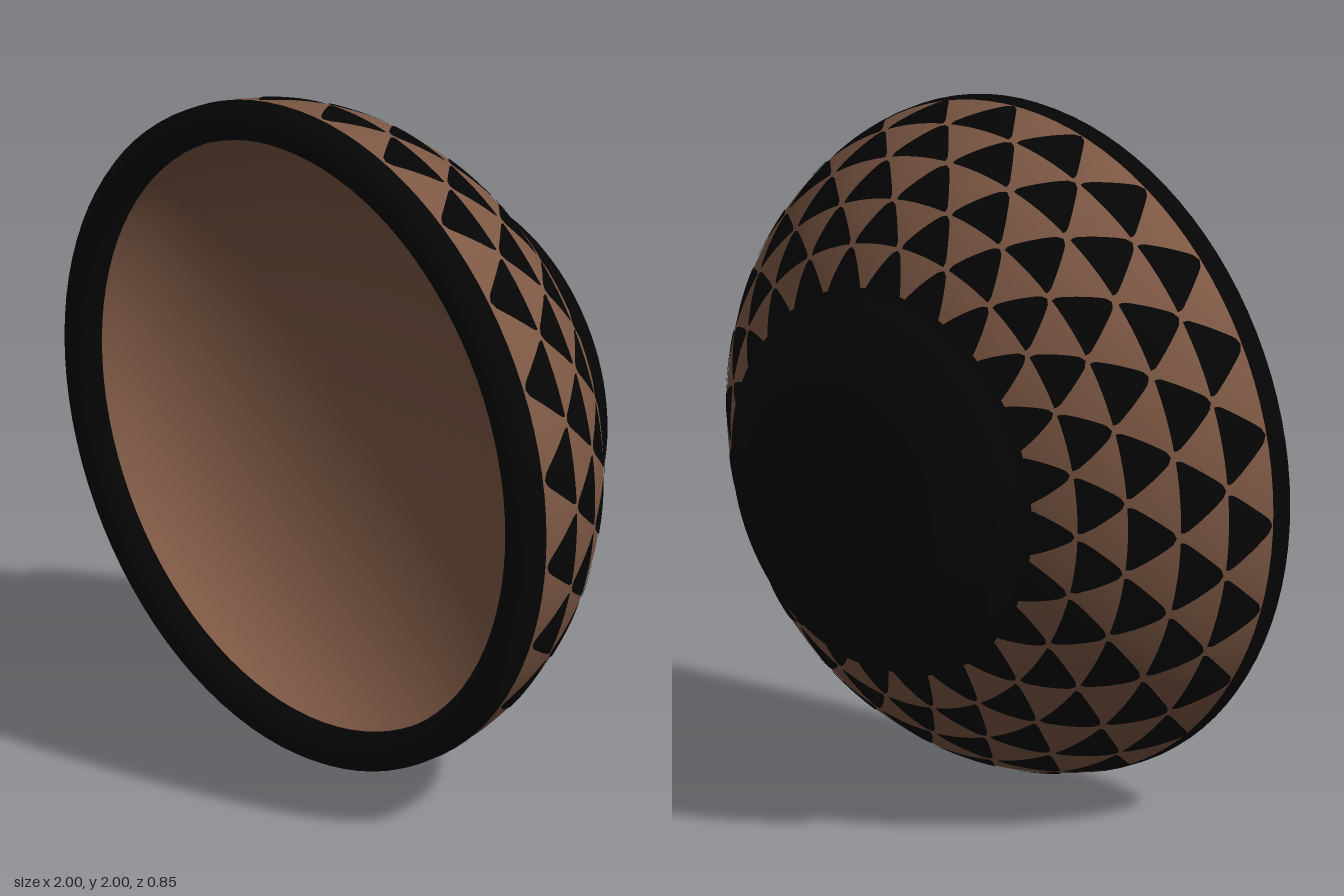
import * as THREE from 'three';
import { mergeGeometries } from 'three/addons/utils/BufferGeometryUtils.js';

const RIM_Z = 0.41, DEPTH = 0.778, COUNT = 23, STEP = (Math.PI * 2) / COUNT;

// Outer wall: a quarter ellipse, radius as a function of z
const wallRadius = (z) => Math.sqrt(1 - ((RIM_Z - z) / DEPTH) ** 2);

export function createModel() {
  const bowl = new THREE.Group();
  bowl.name = 'bowl';
  const brown = new THREE.MeshStandardMaterial({ color: 0x7d5844 });
  brown.name = 'brown clay';
  const black = new THREE.MeshStandardMaterial({ color: 0x050505 });
  black.name = 'black glaze';

  const add = (name, geometry, material) => {
    const mesh = new THREE.Mesh(geometry, material);
    mesh.name = name;
    bowl.add(mesh);
  };
  // Spin a [radius, z] profile about the front-facing axis
  const spin = (name, profile, material) => {
    const g = new THREE.LatheGeometry(profile.map(([r, z]) => new THREE.Vector2(r, z)), 96);
    g.rotateX(Math.PI / 2).translate(0, 1, 0);
    add(name, g, material);
  };

  // Outer wall
  const outer = [];
  for (let i = 0; i <= 40; i++) {
    const z = -0.25 + (0.59 * i) / 40;
    outer.push([wallRadius(z), z]);
  }
  spin('outerWall', outer, brown);

  // Hollow inside, shallower than the outer wall so the base is thick
  const inner = [];
  for (let i = 0; i <= 20; i++) {
    const a = (i / 20) * Math.PI / 2;
    inner.push([0.89 * Math.cos(a), 0.36 - 0.51 * Math.sin(a)]);
  }
  spin('innerWall', inner, brown);

  // Rounded rim with a short lip turned into the hollow
  spin('rim', [[0.994, 0.335], [0.999, 0.345], [1, 0.385], [0.998, 0.4], [0.99, 0.415],
    [0.975, 0.423], [0.96, 0.425], [0.925, 0.425], [0.91, 0.421], [0.899, 0.411],
    [0.892, 0.395], [0.89, 0.36]], black);

  // Foot with a flat base, bevelled side and short collar
  spin('foot', [[0, -0.427], [0.33, -0.427], [0.36, -0.427], [0.385, -0.422], [0.41, -0.408],
    [0.425, -0.396], [0.525, -0.323], [0.54, -0.31], [0.549, -0.292], [0.55, -0.27],
    [0.55, -0.25], [0.557, -0.238], [0.575, -0.228]], black);

  // One rounded triangle bent onto the outer wall, its tip towards the rim
  const triangle = (centre, z0, z1) => {
    const g = new THREE.PlaneGeometry(1, 1, 6, 14);
    const p = g.attributes.position;
    for (let i = 0; i < p.count; i++) {
      const t = p.getY(i) + 0.5;
      const corner = 0.91 + 0.09 * Math.min(1, t / 0.1);
      const tip = Math.sqrt(Math.min(1, (1 - t) / 0.08));
      const width = STEP * 0.96 * corner * tip * (1 - 0.9 * t);
      const angle = centre - p.getX(i) * width;
      const z = z0 + (z1 - z0) * t;
      const r = wallRadius(z);
      const n = new THREE.Vector2(r, (z - RIM_Z) / DEPTH ** 2).setLength(0.0025);
      p.setXYZ(i, (r + n.x) * Math.sin(angle), 1 + (r + n.x) * Math.cos(angle), z + n.y);
    }
    g.computeVertexNormals();
    return g;
  };

  // Five staggered rows of painted triangles: [base z, tip z]
  const rows = [[0.19, 0.333], [0.06, 0.185], [-0.06, 0.05], [-0.155, -0.065], [-0.235, -0.16]];
  rows.forEach(([z0, z1], row) => {
    const parts = [];
    for (let i = 0; i < COUNT; i++) parts.push(triangle(0.03 + (i + (row % 2) / 2) * STEP, z0, z1));
    add('triangleRow' + (row + 1), mergeGeometries(parts), black);
  });

  return bowl;
}
